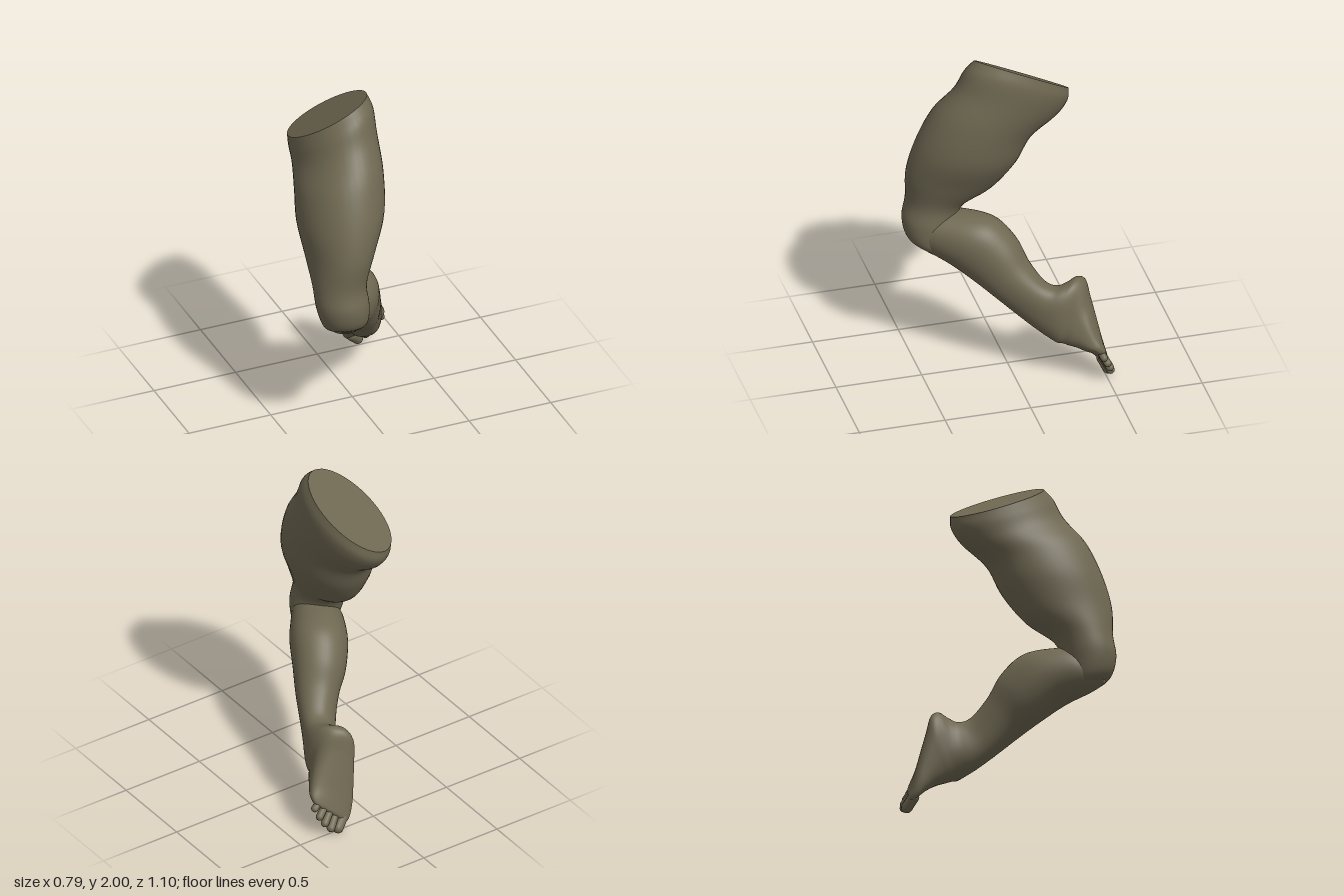
import * as THREE from 'three';

const SIDES = 44;
const V = (a) => new THREE.Vector3(...a);
const power = (x, p) => Math.sign(x) * Math.abs(x) ** p;

// Smooth skin through oval sections; each section is [centre, half-axis u, half-axis v].
// The ovals become squarer towards the end as endPower drops below 1.
function loft(sections, steps, { flatStart = false, endPower = 1 } = {}) {
  const curves = [0, 1, 2].map((k) => new THREE.CatmullRomCurve3(sections.map((s) => V(s[k])), false, 'catmullrom', 0.5));
  const first = V(sections[0][0]);
  const axis = V(sections[1][0]).sub(first);
  const flip = V(sections[0][1]).cross(V(sections[0][2])).dot(axis) < 0 ? -1 : 1;
  const pos = [], idx = [];
  const addRing = (t) => {
    const [c, u, v] = curves.map((k) => k.getPoint(t));
    const e = THREE.MathUtils.lerp(1, endPower, t);
    for (let j = 0; j < SIDES; j++) {
      const a = (j / SIDES) * Math.PI * 2;
      const p = c.clone().addScaledVector(u, power(Math.cos(a), e)).addScaledVector(v, flip * power(Math.sin(a), e));
      pos.push(p.x, p.y, p.z);
    }
  };
  for (let i = 0; i <= steps; i++) addRing(i / steps);
  for (let i = 0; i < steps; i++) {
    for (let j = 0; j < SIDES; j++) {
      const a = i * SIDES + j, b = i * SIDES + ((j + 1) % SIDES);
      idx.push(a, b, a + SIDES, b, b + SIDES, a + SIDES);
    }
  }
  // A flat start gets its own rim so the edge stays sharp
  let rim = 0;
  if (flatStart) {
    rim = pos.length / 3;
    addRing(0);
  }
  const p0 = pos.length / 3, p1 = p0 + 1, last = steps * SIDES;
  pos.push(...first.toArray(), ...sections[sections.length - 1][0]);
  for (let j = 0; j < SIDES; j++) {
    const k = (j + 1) % SIDES;
    idx.push(p0, rim + k, rim + j, p1, last + j, last + k);
  }
  const g = new THREE.BufferGeometry();
  g.setAttribute('position', new THREE.Float32BufferAttribute(pos, 3));
  g.setIndex(idx);
  g.computeVertexNormals();
  return g;
}

export function createModel() {
  const group = new THREE.Group();
  const skin = new THREE.MeshStandardMaterial({ color: 0x6f6852 });
  skin.name = 'olive skin';
  const add = (name, geometry) => {
    const m = new THREE.Mesh(geometry, skin);
    m.name = name;
    group.add(m);
    return m;
  };

  // Thigh and knee: x, y, z, radius x, radius z, slope along x, slope along z
  const thigh = [
    [-0.108, 1.83, -0.11, 0.216, 0.27, 0.476, 0.486],
    [-0.1, 1.765, -0.075, 0.228, 0.296, 0.41, 0.47],
    [-0.105, 1.665, -0.012, 0.23, 0.292, 0.3, 0.43],
    [-0.133, 1.53, 0.115, 0.245, 0.285, 0.15, 0.35],
    [-0.16, 1.345, 0.2, 0.24, 0.29, 0.05, 0.26],
    [-0.2, 1.16, 0.283, 0.187, 0.252, 0, 0.24],
    [-0.234, 1.01, 0.36, 0.152, 0.17, 0, 0.12],
    [-0.23, 0.88, 0.4, 0.15, 0.15, 0, 0.15],
    [-0.212, 0.76, 0.402, 0.124, 0.122, 0.02, 0.25],
    [-0.19, 0.7, 0.375, 0.065, 0.07, -0.1, 0.4],
  ].map(([x, y, z, rx, rz, sx, sz]) => [[x, y, z], [rx, rx * sx, 0], [0, rz * sz, rz]]);
  add('thigh', loft(thigh, 54, { flatStart: true }));

  // Calf: x, y, z, side radius, front-to-back radius
  const calf = [
    [-0.225, 0.85, 0.42, 0.12, 0.12],
    [-0.185, 0.83, 0.325, 0.146, 0.168],
    [-0.095, 0.785, 0.18, 0.165, 0.195],
    [-0.02, 0.685, 0.065, 0.15, 0.182],
    [0.05, 0.58, -0.015, 0.122, 0.148],
  ].map(([x, y, z, ru, rv]) => [[x, y, z], [ru * 0.8, 0, ru * 0.6], [rv * 0.35, rv * 0.78, -rv * 0.47]]);

  // Ankle, heel and sole: sections fan around the front of the ankle down to the ball
  const foot = [
    [[0.115, 0.473, -0.115], [0.08, 0, 0.06], [0.045, 0.122, -0.045]],
    [[0.15, 0.42, -0.195], [0.085, 0.002, 0.056], [0.028, 0.145, -0.035]],
    [[0.17, 0.41, -0.252], [0.096, 0.005, 0.05], [0.008, 0.17, -0.042]],
    [[0.176, 0.41, -0.3], [0.102, 0.01, 0.046], [-0.012, 0.19, -0.058]],
    [[0.178, 0.39, -0.342], [0.102, 0.018, 0.043], [-0.02, 0.178, -0.068]],
    [[0.196, 0.336, -0.368], [0.104, 0.03, 0.043], [-0.018, 0.134, -0.064]],
    [[0.22, 0.278, -0.4], [0.109, 0.045, 0.044], [-0.01, 0.092, -0.052]],
    [[0.245, 0.212, -0.434], [0.113, 0.062, 0.041], [-0.004, 0.05, -0.041]],
    [[0.266, 0.168, -0.46], [0.11, 0.078, 0.035], [0, 0.02, -0.034]],
    [[0.28, 0.137, -0.48], [0.095, 0.08, 0.032], [0, 0.01, -0.024]],
    [[0.286, 0.125, -0.487], [0.076, 0.067, 0.026], [0, 0.005, -0.012]],
  ];
  add('lowerLegAndFoot', loft([...calf, ...foot], 90, { endPower: 0.68 }));

  // Toes, big to small: base, tip, radius
  const toes = [
    [[0.207, 0.078, -0.495], [0.254, 0.032, -0.518], 0.032],
    [[0.252, 0.105, -0.485], [0.303, 0.05, -0.518], 0.024],
    [[0.285, 0.135, -0.478], [0.335, 0.088, -0.506], 0.023],
    [[0.315, 0.165, -0.468], [0.358, 0.13, -0.487], 0.022],
    [[0.34, 0.2, -0.452], [0.374, 0.178, -0.462], 0.021],
  ];
  toes.forEach(([base, tip, r], i) => {
    const a = V(base), dir = V(tip).sub(a);
    const toe = add(`toe${i + 1}`, new THREE.CapsuleGeometry(r, dir.length(), 6, 14));
    toe.position.copy(a).addScaledVector(dir, 0.5);
    toe.quaternion.setFromUnitVectors(new THREE.Vector3(0, 1, 0), dir.normalize());
  });

  return group;
}
